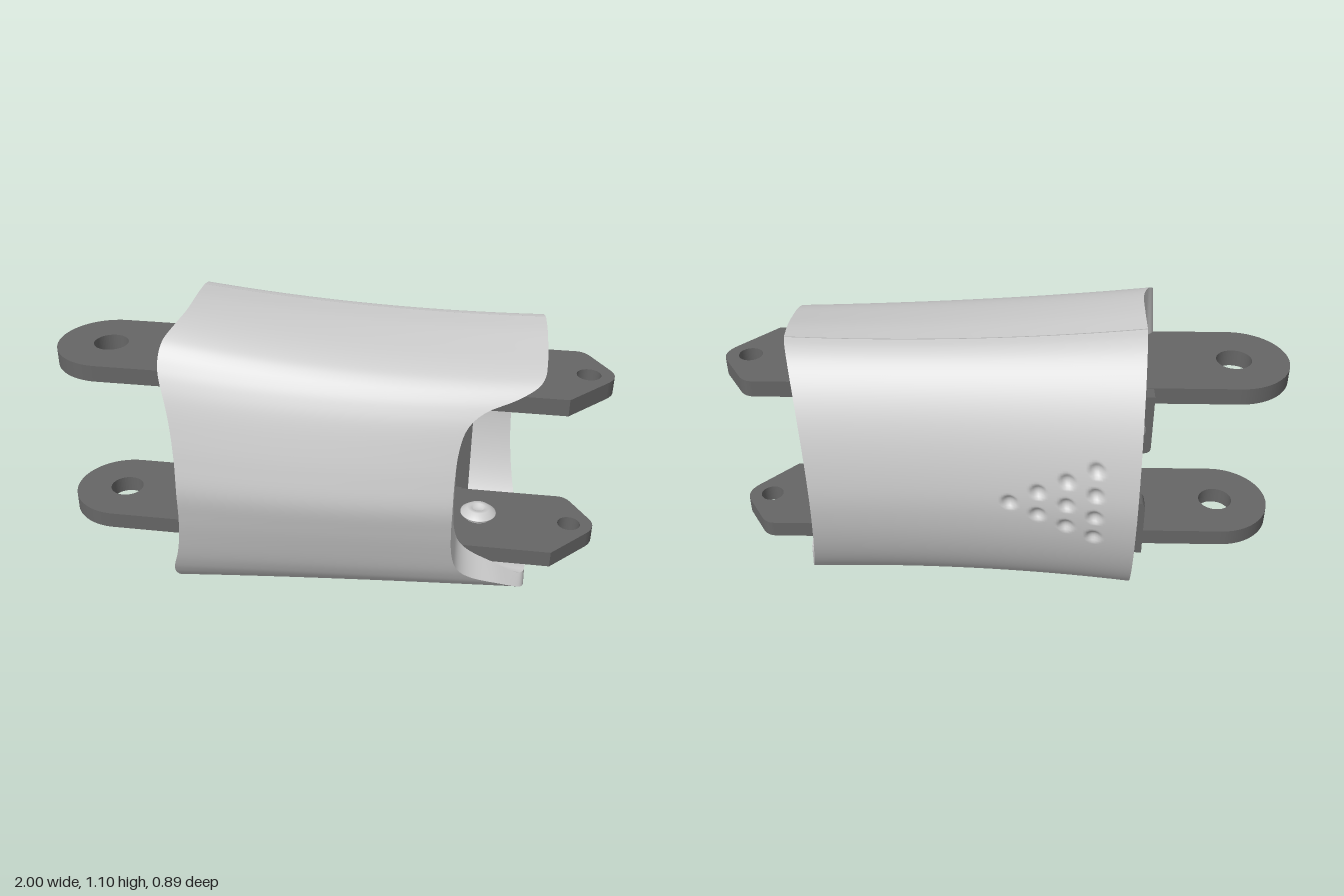
import * as THREE from 'three';
import { mergeGeometries } from 'three/addons/utils/BufferGeometryUtils.js';

const MID = 0.5525, SEAM = -0.13;
const light = new THREE.MeshStandardMaterial({ color: 0xcccccc, side: THREE.DoubleSide });
const dark = new THREE.MeshStandardMaterial({ color: 0x666666 });

function add(parent, name, geometry, material, x = 0, y = 0, z = 0) {
  const mesh = new THREE.Mesh(geometry, material);
  mesh.name = name;
  mesh.position.set(x, y, z);
  parent.add(mesh);
  return mesh;
}

// Smooth surface patch from a function of (u, v)
function patch(fn, nu, nv, flip) {
  const pos = [], idx = [];
  for (let i = 0; i <= nu; i++)
    for (let j = 0; j <= nv; j++) pos.push(...fn(i / nu, j / nv));
  for (let i = 0; i < nu; i++)
    for (let j = 0; j < nv; j++) {
      const a = i * (nv + 1) + j, b = a + nv + 1;
      if (flip) idx.push(a, a + 1, b, b, a + 1, b + 1);
      else idx.push(a, b, a + 1, b, b + 1, a + 1);
    }
  const g = new THREE.BufferGeometry();
  g.setAttribute('position', new THREE.Float32BufferAttribute(pos, 3));
  g.setIndex(idx);
  g.computeVertexNormals();
  return g;
}

// Spline through rows of numbers, t from 0 to 1
function sampleRows(rows, t) {
  const n = rows.length - 1, s = Math.min(t * n, n - 1e-9), i = Math.floor(s), f = s - i;
  const [a, b, c, d] = [Math.max(i - 1, 0), i, i + 1, Math.min(i + 2, n)].map(k => rows[k]);
  return b.map((_, k) => b[k] + 0.5 * f * (c[k] - a[k] +
    f * (2 * a[k] - 5 * b[k] + 4 * c[k] - d[k] + f * (3 * (b[k] - c[k]) + d[k] - a[k]))));
}

// Mirror top-half rows to the bottom; the listed columns change sign
const mirrorRows = (rows, signed) => [...rows,
  ...rows.slice(0, -1).reverse().map(r => r.map((v, k) => (signed.includes(k) ? -v : v)))];

// Half sleeve: outer skin, inner skin, end rims and seam faces
function halfShell(rows, outer, inner, x0, x1, nu, nx, back) {
  const at = (fn, u, v) => {
    const r = sampleRows(rows, u);
    return fn(r, r[x0] + (r[x1] - r[x0]) * v);
  };
  const between = (u, v, w) => {
    const a = at(outer, u, v), b = at(inner, u, v);
    return a.map((c, k) => c + (b[k] - c) * w);
  };
  return mergeGeometries([
    patch((u, v) => at(outer, u, v), nu, nx, back),
    patch((u, v) => at(inner, u, v), nu, 30, !back),
    patch((u, w) => between(u, 1, w), nu, 1, back),
    patch((u, w) => between(u, 0, w), nu, 1, !back),
    patch((v, w) => between(0, v, w), 30, 1, back),
    patch((v, w) => between(1, v, w), 30, 1, !back),
  ]);
}

const halfHeight = x => 0.497 + 0.059 * (x - 0.45) ** 2;
const frontDepth = x => 0.442 - 0.07 * (x + 0.2) ** 2;
const backDepth = x => 0.397 + 0.066 * (x - 0.4) ** 2;

// Front rows: z, left height ratio, right height ratio, left end x, right end x,
// inner z, inner y, inner y at the horn tip
const frontRows = mirrorRows([
  [-0.13, 0.99, 0.99, -0.48, 0.75, -0.13, 0.375, 0.44],
  [-0.02, 1, 0.975, -0.48, 0.755, -0.04, 0.37, 0.425],
  [0.1, 0.988, 0.935, -0.485, 0.757, 0.06, 0.365, 0.41],
  [0.19, 0.955, 0.9, -0.505, 0.756, 0.13, 0.36, 0.4],
  [0.255, 0.9, 0.86, -0.53, 0.75, 0.165, 0.357, 0.4],
  [0.295, 0.835, 0.815, -0.539, 0.725, 0.185, 0.35, 0.395],
  [0.325, 0.76, 0.755, -0.538, 0.66, 0.195, 0.335, 0.37],
  [0.348, 0.685, 0.685, -0.528, 0.565, 0.2, 0.31, 0.33],
  [0.372, 0.58, 0.585, -0.509, 0.51, 0.2, 0.27, 0.27],
  [0.397, 0.43, 0.43, -0.49, 0.487, 0.2, 0.21, 0.21],
  [0.425, 0.22, 0.22, -0.475, 0.48, 0.2, 0.12, 0.12],
  [0.443, 0, 0, -0.47, 0.48, 0.2, 0, 0],
], [1, 2, 6, 7]);

// Back rows along a superellipse: z, height ratio, left end x, right end x
const backRows = mirrorRows(Array.from({ length: 10 }, (_, i) => {
  const a = (i / 9) * Math.PI / 2;
  const s = Math.sin(a) ** 1.11, c = Math.max(Math.cos(a), 0) ** 1.11;
  return [SEAM - 0.003 - 0.312 * s, 0.988 * c, -0.48 + 0.02 * s, 0.75 - 0.08 * s ** 1.2];
}), [1]);

// Triangular field of dimples on the back
const dimples = [];
for (let col = 0; col < 4; col++)
  for (let k = 0; k < 4 - col; k++)
    dimples.push([-0.315 + 0.098 * col, 0.565 + 0.094 * (k - (3 - col) / 2)]);

function frontOuter(r, x) {
  const k = (frontDepth(x) - SEAM) / (0.443 - SEAM);
  const ratio = THREE.MathUtils.lerp(r[1], r[2], (x + 0.48) / 1.23);
  return [x, MID + ratio * halfHeight(x), SEAM + (r[0] - SEAM) * k];
}
function frontInner(r, x) {
  const y = THREE.MathUtils.lerp(r[6], r[7], THREE.MathUtils.smoothstep(x, 0.5, 0.75));
  return [x, MID + y, r[5]];
}

function backOuter(r, x) {
  const k = (backDepth(x) + SEAM) / (0.445 + SEAM);
  const y = MID + r[1] * halfHeight(x);
  let z = SEAM + (r[0] - SEAM) * k;
  for (const [dx, dy] of dimples) {
    const q = ((x - dx) ** 2 + (y - dy) ** 2) / 0.029 ** 2;
    if (q < 1) z += 0.018 * (1 - q);
  }
  return [x, y, z];
}
function backInner(r, x) {
  const k = 0.79 * (backDepth(x) + SEAM) / (0.445 + SEAM);
  return [x, MID + r[1] * (halfHeight(x) - 0.052), SEAM + (r[0] - SEAM) * k];
}

// Flat link arm with a round end, a pointed end and two pivot holes
function armGeometry() {
  const s = new THREE.Shape();
  s.moveTo(-0.81, -0.195);
  s.lineTo(0.84, -0.195);
  s.lineTo(0.975, -0.05);
  s.quadraticCurveTo(1.015, 0, 0.985, 0.045);
  s.lineTo(0.92, 0.15);
  s.quadraticCurveTo(0.9, 0.18, 0.87, 0.18);
  s.lineTo(0.5, 0.18);
  s.lineTo(0.5, 0.195);
  s.lineTo(-0.81, 0.195);
  s.absarc(-0.81, 0, 0.195, Math.PI / 2, Math.PI * 1.5, false);
  for (const [x, r] of [[-0.81, 0.063], [0.91, 0.042]])
    s.holes.push(new THREE.Path().absarc(x, 0, r, 0, Math.PI * 2, true));
  return new THREE.ExtrudeGeometry(s, { depth: 0.062, bevelEnabled: false, curveSegments: 32 })
    .rotateX(-Math.PI / 2);
}

// Upright plate joining the arms, notched at its left end into two tabs
function plateGeometry() {
  const s = new THREE.Shape();
  s.moveTo(-0.51, 0.208);
  s.lineTo(0.525, 0.208);
  s.lineTo(0.525, 0.897);
  s.lineTo(-0.51, 0.897);
  s.lineTo(-0.51, 0.69);
  s.quadraticCurveTo(-0.51, 0.665, -0.485, 0.665);
  s.lineTo(-0.3, 0.665);
  s.lineTo(-0.3, 0.44);
  s.lineTo(-0.485, 0.44);
  s.quadraticCurveTo(-0.51, 0.44, -0.51, 0.415);
  return new THREE.ExtrudeGeometry(s, { depth: 0.06, bevelEnabled: false });
}

// Mounting post filling the space between plate and back cover
function postGeometry() {
  const s = new THREE.Shape([[0.25, 0.07], [0.345, 0.07], [0.325, 0.2], [0.265, 0.345], [0.25, 0.345]]
    .map(p => new THREE.Vector2(...p)));
  return new THREE.ExtrudeGeometry(s, { depth: 0.16, bevelEnabled: false })
    .translate(0, 0, -0.08).rotateY(Math.PI / 2);
}

const lathe = pts => new THREE.LatheGeometry(pts.map(p => new THREE.Vector2(...p)), 32);

export function createModel() {
  const model = new THREE.Group();
  model.name = 'linkWithCover';

  add(model, 'frontCover', halfShell(frontRows, frontOuter, frontInner, 3, 4, 120, 40, false), light);
  add(model, 'backCover', halfShell(backRows, backOuter, backInner, 2, 3, 170, 130, true), light);

  const arm = armGeometry();
  add(model, 'upperArm', arm, dark, 0, 0.837, 0);
  add(model, 'lowerArm', arm, dark, 0, 0.206, 0);
  add(model, 'joiningPlate', plateGeometry(), dark, 0, 0, -0.25);

  // Cone-headed screws on the inner faces of the arms
  const screw = lathe([[0.05, 0], [0.05, 0.012], [0.067, 0.018], [0.067, 0.021],
    [0.042, 0.041], [0.024, 0.041], [0.02, 0.03], [0, 0.03]]);
  add(model, 'lowerScrew', screw, light, 0.57, 0.267, 0);
  add(model, 'upperScrew', screw, light, 0.57, 0.838, 0).rotation.x = Math.PI;

  // Flush plate screws and the cover's mounting posts
  const post = postGeometry();
  for (const [x, radius] of [[-0.445, 0.042], [0.4, 0.06]]) {
    const ring = lathe([[0.022, -0.032], [radius, -0.032], [radius, 0.032],
      [0.022, 0.032], [0.022, -0.032]]).rotateX(Math.PI / 2);
    for (const side of [-1, 1]) {
      add(model, 'plateScrew', ring, light, x, MID + side * 0.21, -0.22);
      const mount = add(model, 'mountingPost', post, light, Math.sign(x) * 0.33, MID, 0);
      mount.scale.y = side;
    }
  }
  return model;
}
